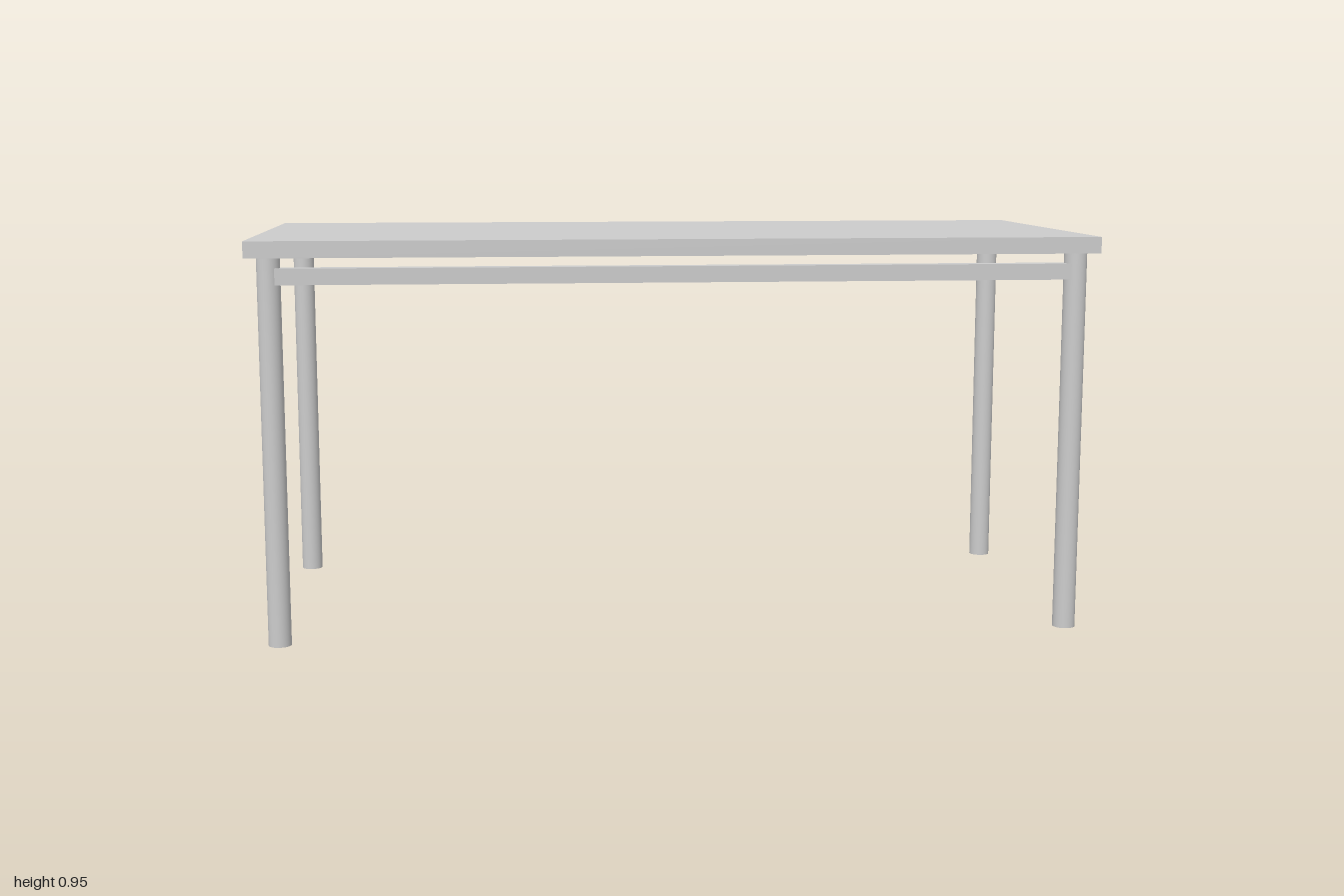
import * as THREE from 'three';

export function createModel() {
  const table = new THREE.Group();
  table.name = 'table';
  const material = new THREE.MeshStandardMaterial({ color: 0xcccccc });

  const add = (name, geometry, x, y, z) => {
    const mesh = new THREE.Mesh(geometry, material);
    mesh.name = name;
    mesh.position.set(x, y, z);
    table.add(mesh);
  };

  // Rectangular slab top
  const topHeight = 0.952, topThickness = 0.039;
  const legHeight = topHeight - topThickness;
  add('tableTop', new THREE.BoxGeometry(2, topThickness, 0.874), 0, topHeight - topThickness / 2, 0);

  // Four round legs, the back pair set in slightly further
  const legGeometry = new THREE.CylinderGeometry(0.027, 0.027, legHeight, 32);
  for (const [end, z] of [['front', 0.407], ['back', -0.387]]) {
    for (const [side, x] of [['Left', 0.947], ['Right', -0.947]]) {
      add(`${end}${side}Leg`, legGeometry, x, legHeight / 2, z);
    }
  }

  // Rail between the front legs
  add('frontRail', new THREE.BoxGeometry(1.866, 0.038, 0.04), 0, 0.87, 0.409);

  return table;
}
